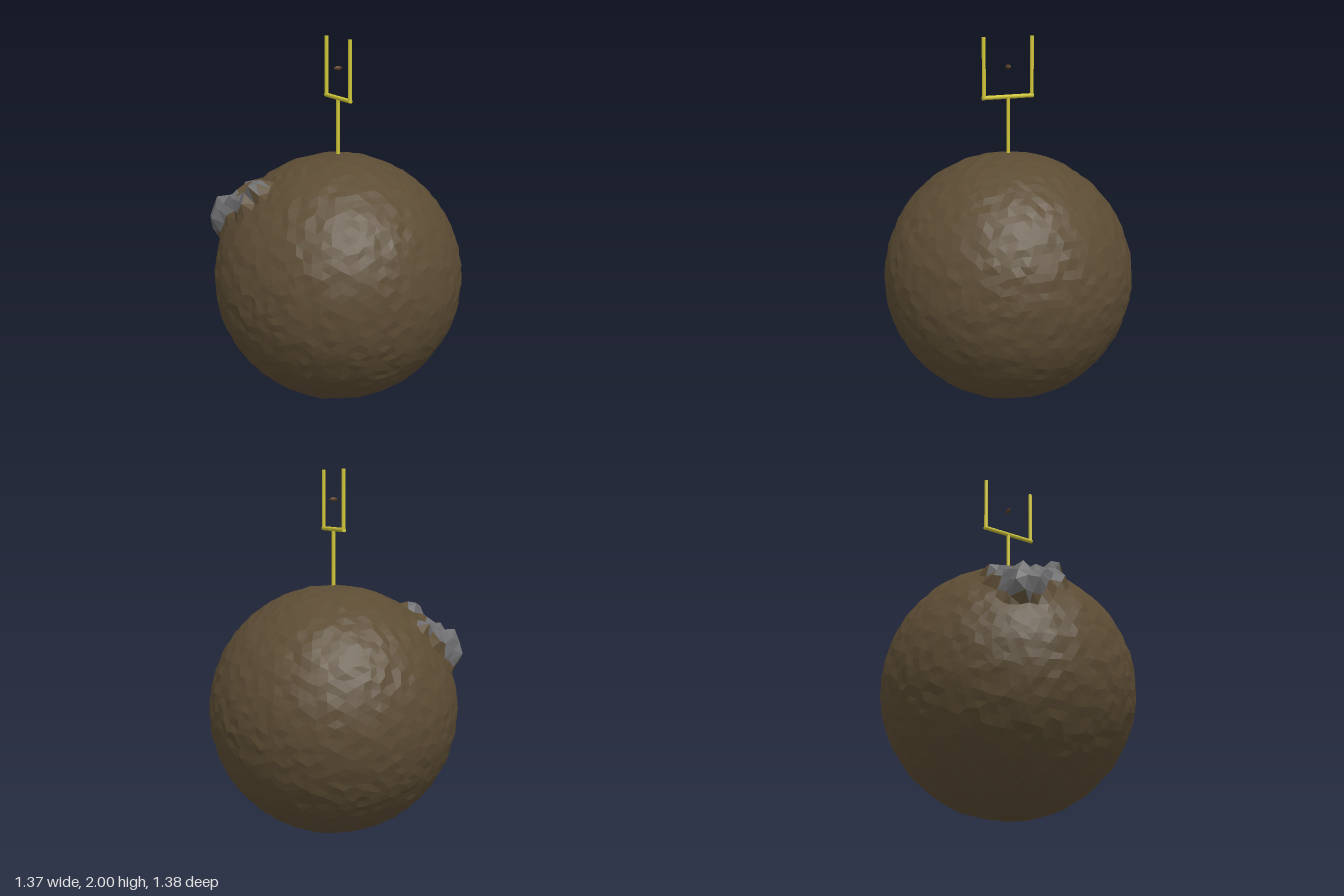
import * as THREE from 'three';

const R = 0.685, CENTER_Y = 0.69;

const material = (color, flat = false) => new THREE.MeshStandardMaterial({ color, flatShading: flat });

// Repeatable pseudo-random value in -1..1 for a position, equal at shared corners
function noise(v, seed) {
  const q = (n) => Math.round(n * 1000);
  const s = Math.sin(q(v.x) * 12.9898 + q(v.y) * 78.233 + q(v.z) * 37.719 + seed * 91.7) * 43758.5453;
  return (s - Math.floor(s)) * 2 - 1;
}

// Outcrop peaks: direction from the planet centre, reach and height
const peaks = [
  { at: [-0.65, 0.4, -0.28], reach: 0.13, height: 0.11 },
  { at: [-0.56, 0.46, -0.33], reach: 0.11, height: 0.06 },
  { at: [-0.6, 0.43, -0.17], reach: 0.1, height: 0.08 },
  { at: [-0.42, 0.5, -0.36], reach: 0.08, height: 0.05 },
  { at: [-0.56, 0.48, -0.05], reach: 0.08, height: 0.05 },
  { at: [-0.5, 0.57, -0.01], reach: 0.07, height: 0.08 },
].map((p) => ({ ...p, dir: new THREE.Vector3(...p.at).normalize() }));

function bump(dir) {
  let h = 0;
  for (const p of peaks) {
    const t = 1 - dir.distanceTo(p.dir) * R / p.reach;
    if (t > 0) h = Math.max(h, p.height * Math.min(1, t * 1.6));
  }
  return h;
}

// Faceted planet: rough icosphere, split into soil and bare rock by face
function createPlanet() {
  const planet = new THREE.Group();
  planet.name = 'planet';
  const pos = new THREE.IcosahedronGeometry(1, 15).attributes.position;
  const soil = [], rock = [];
  for (let i = 0; i < pos.count; i += 3) {
    let height = 0;
    const corners = [];
    for (let k = 0; k < 3; k++) {
      const dir = new THREE.Vector3().fromBufferAttribute(pos, i + k).normalize();
      const h = bump(dir);
      height += h / 3;
      const rough = h > 0 ? 0.016 : 0.0045;
      const shift = new THREE.Vector3(noise(dir, 1), noise(dir, 2), noise(dir, 3)).multiplyScalar(0.012);
      const radius = R + h + noise(dir, 4) * rough;
      corners.push(dir.clone().add(shift).normalize().multiplyScalar(radius));
    }
    const target = height > 0.028 ? rock : soil;
    corners.forEach((c) => target.push(c.x, c.y, c.z));
  }
  for (const [name, data, color] of [['soil', soil, 0x5c4c34], ['rockOutcrop', rock, 0x6c6c6e]]) {
    const geometry = new THREE.BufferGeometry();
    geometry.setAttribute('position', new THREE.Float32BufferAttribute(data, 3));
    geometry.computeVertexNormals();
    const mesh = new THREE.Mesh(geometry, material(color, true));
    mesh.name = name;
    planet.add(mesh);
  }
  planet.position.y = CENTER_Y;
  return planet;
}

// Goal: one pole, a crossbar along z and two uprights
function createGoal() {
  const goal = new THREE.Group();
  goal.name = 'goal';
  const yellow = material(0xd0c638);
  const bar = (name, radius, length, y, z) => {
    const mesh = new THREE.Mesh(new THREE.CylinderGeometry(radius, radius, length, 16), yellow);
    mesh.name = name;
    mesh.position.set(0, y, z);
    goal.add(mesh);
    return mesh;
  };
  bar('pole', 0.01, 0.36, 1.5, 0);
  bar('crossbar', 0.0115, 0.318, 1.68, 0).rotation.x = Math.PI / 2;
  for (const side of [-1, 1]) bar('upright', 0.0105, 0.32, 1.84, side * 0.15);
  return goal;
}

// Pointed oval ball lying along x
function createBall() {
  const profile = [];
  for (let i = 0; i <= 12; i++) {
    const t = -1 + i / 6;
    profile.push(new THREE.Vector2(0.012 * Math.pow(1 - t * t, 0.8), t * 0.025));
  }
  const ball = new THREE.Mesh(new THREE.LatheGeometry(profile, 16), material(0x5a3f28));
  ball.name = 'ball';
  ball.rotation.z = Math.PI / 2;
  ball.position.y = 1.84;
  return ball;
}

export function createModel() {
  const model = new THREE.Group();
  model.name = 'planetWithGoal';
  model.add(createPlanet(), createGoal(), createBall());
  return model;
}
